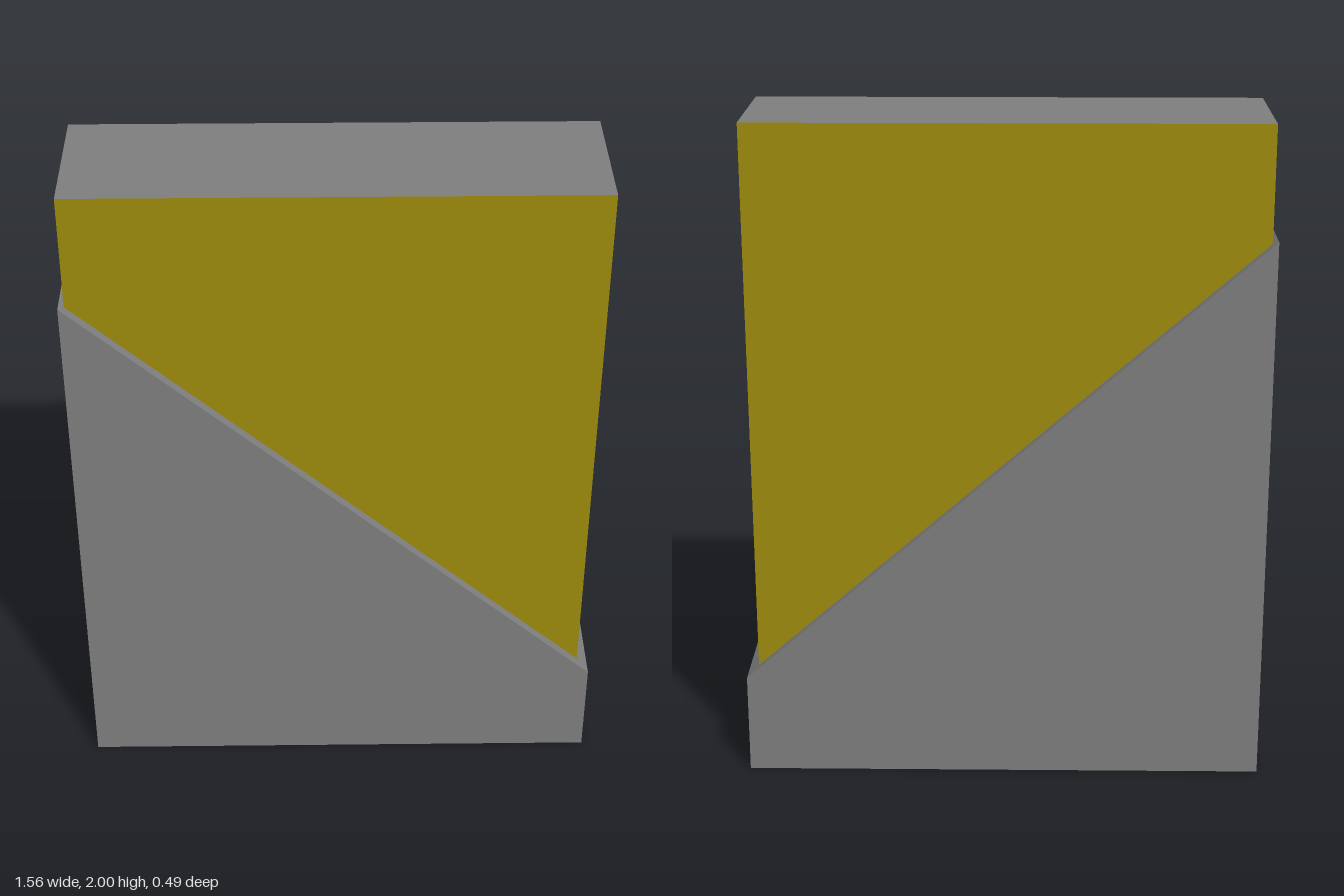
import * as THREE from 'three';

const HALF_WIDTH = 0.78, HALF_DEPTH = 0.245;
const slopeHeight = (x) => 1.67 - 0.875 * (x + HALF_WIDTH);

// Section of the holder between two x positions, with its top cut along the slope
function holderSection(x0, x1, hole) {
  const shape = new THREE.Shape();
  shape.moveTo(-HALF_DEPTH, 0);
  shape.lineTo(HALF_DEPTH, 0);
  shape.lineTo(HALF_DEPTH, 1);
  shape.lineTo(-HALF_DEPTH, 1);
  shape.closePath();
  if (hole) shape.holes.push(hole);
  const geo = new THREE.ExtrudeGeometry(shape, { depth: x1 - x0, bevelEnabled: false, curveSegments: 5 });
  geo.rotateY(Math.PI / 2);
  geo.translate(x0, 0, 0);
  const pos = geo.attributes.position;
  for (let i = 0; i < pos.count; i++) {
    if (pos.getY(i) > 0.99) pos.setY(i, slopeHeight(pos.getX(i)));
  }
  geo.computeVertexNormals();
  return geo;
}

export function createModel() {
  const grey = new THREE.MeshStandardMaterial({ color: 0x808080 });
  grey.name = 'grey';
  const mustard = new THREE.MeshStandardMaterial({ color: 0xa08d0d });
  mustard.name = 'mustard';

  const model = new THREE.Group();
  model.name = 'bookInHolder';

  // Holder: spine end with a finger hole, then the rest of the sloping body
  const holder = new THREE.Group();
  holder.name = 'holder';
  const fingerHole = new THREE.Path().absarc(0, 0.21, 0.097, 0, Math.PI * 2, true);
  const spine = new THREE.Mesh(holderSection(-HALF_WIDTH, -0.48, fingerHole), grey);
  spine.name = 'holderSpine';
  const body = new THREE.Mesh(holderSection(-0.48, HALF_WIDTH), grey);
  body.name = 'holderBody';
  holder.add(spine, body);
  model.add(holder);

  // Book: coloured covers and spine, grey page edges (+x, -x, +y, -y, +z, -z)
  const bottom = 0.32, top = 2;
  const book = new THREE.Mesh(
    new THREE.BoxGeometry(1.512, top - bottom, 0.425),
    [grey, mustard, grey, grey, mustard, mustard]
  );
  book.name = 'book';
  book.position.set(-0.01, (top + bottom) / 2, 0);
  model.add(book);

  return model;
}
